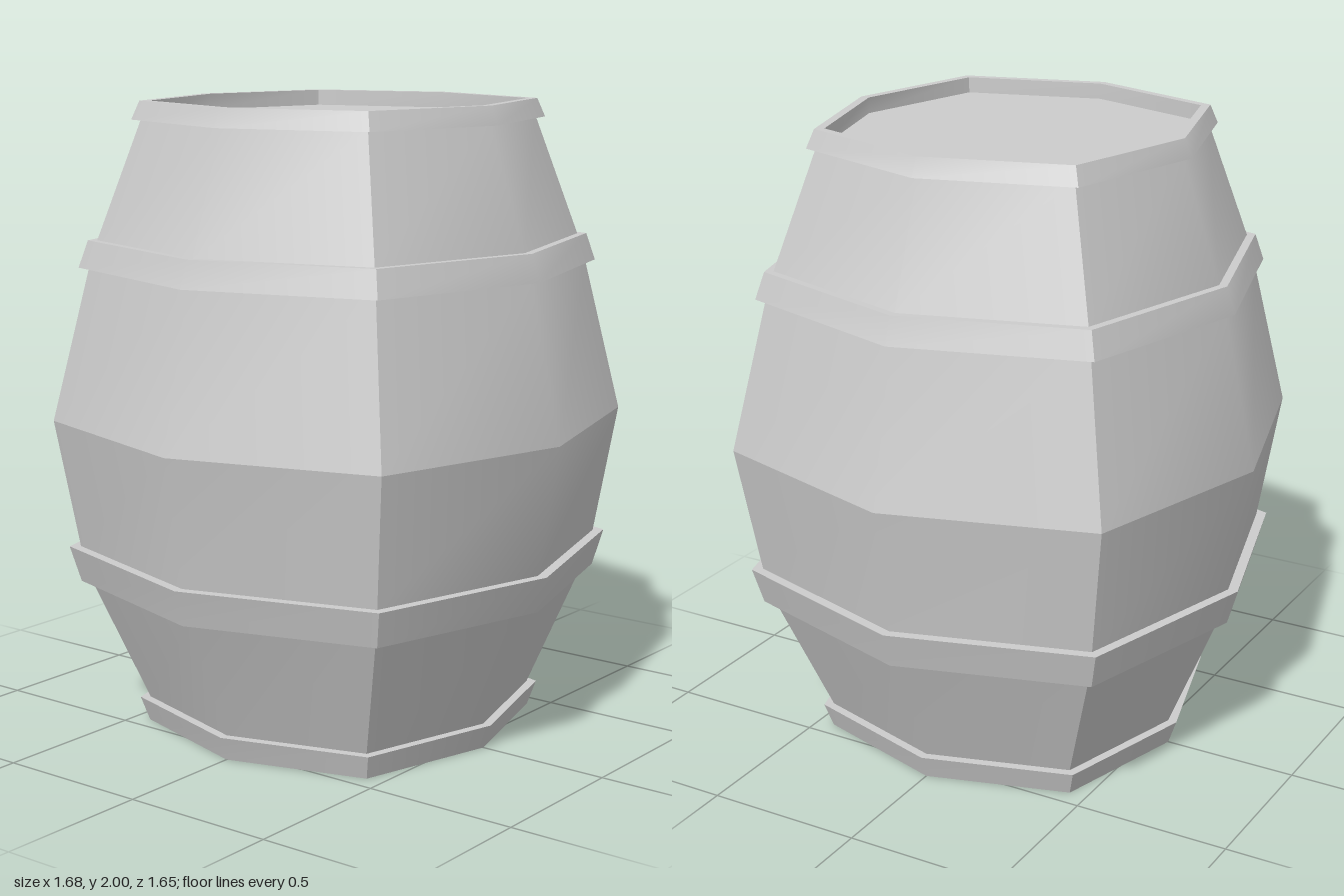
import * as THREE from 'three';

const CORNER = 0.768; // corner offset relative to the mid-side radius
const DEPTH = 0.984;  // front-to-back radius relative to the sideways one
const material = new THREE.MeshStandardMaterial({ color: 0xcccccc });

// The eight points of the barrel's cross-section at radius r, as [x, z]
function ring(r) {
  const c = r * CORNER, d = r * DEPTH;
  return [[c, c], [0, d], [-c, c], [-r, 0], [-c, -c], [0, -d], [c, -c], [r, 0]];
}

// Stack of bands along a profile of [radius, y]; outer surfaces run upwards.
// Each band has four sides, softly bent in the middle, with hard edges at the
// corners and towards the neighbouring bands.
function shell(name, profile) {
  const positions = [], indices = [];
  for (let p = 0; p < profile.length - 1; p++) {
    const [r0, y0] = profile[p], [r1, y1] = profile[p + 1];
    const low = ring(r0), high = ring(r1);
    for (let side = 0; side < 8; side += 2) {
      const first = positions.length / 3;
      for (let k = side; k < side + 3; k++) {
        const [ax, az] = low[k % 8], [bx, bz] = high[k % 8];
        positions.push(ax, y0, az, bx, y1, bz);
      }
      for (const i of [first, first + 2]) indices.push(i, i + 1, i + 2, i + 2, i + 1, i + 3);
    }
  }
  const geometry = new THREE.BufferGeometry();
  geometry.setAttribute('position', new THREE.Float32BufferAttribute(positions, 3));
  geometry.setIndex(indices);
  geometry.computeVertexNormals();
  const mesh = new THREE.Mesh(geometry, material);
  mesh.name = name;
  return mesh;
}

// Flat octagonal lid facing up (1) or down (-1)
function lid(name, r, y, facing) {
  const shape = new THREE.Shape(ring(r).map(([x, z]) => new THREE.Vector2(x, z)));
  const mesh = new THREE.Mesh(new THREE.ShapeGeometry(shape), material);
  mesh.name = name;
  mesh.rotation.x = -facing * Math.PI / 2;
  mesh.position.y = y;
  return mesh;
}

export function createModel() {
  const barrel = new THREE.Group();
  barrel.name = 'barrel';
  const inner = 0.547, recess = 0.05;

  // Bulging staves
  barrel.add(shell('staves', [
    [0.57, 0.07], [0.74, 0.475], [0.77, 0.59], [0.84, 1],
    [0.728, 1.485], [0.703, 1.57], [0.57, 1.95],
  ]));

  // Middle hoops
  barrel.add(shell('lowerHoop', [[0.73, 0.475], [0.77, 0.475], [0.803, 0.59], [0.76, 0.59]]));
  barrel.add(shell('upperHoop', [[0.72, 1.485], [0.758, 1.485], [0.73, 1.57], [0.69, 1.57]]));

  // End hoops with a rim around each recessed lid
  barrel.add(shell('bottomRim', [
    [inner, recess], [inner, 0], [0.576, 0], [0.603, 0.078], [0.56, 0.078],
  ]));
  barrel.add(shell('topRim', [
    [0.56, 1.942], [0.6, 1.942], [0.576, 2], [inner, 2], [inner, 2 - recess],
  ]));

  // Lids
  barrel.add(lid('topLid', inner, 2 - recess, 1));
  barrel.add(lid('bottomLid', inner, recess, -1));
  return barrel;
}
